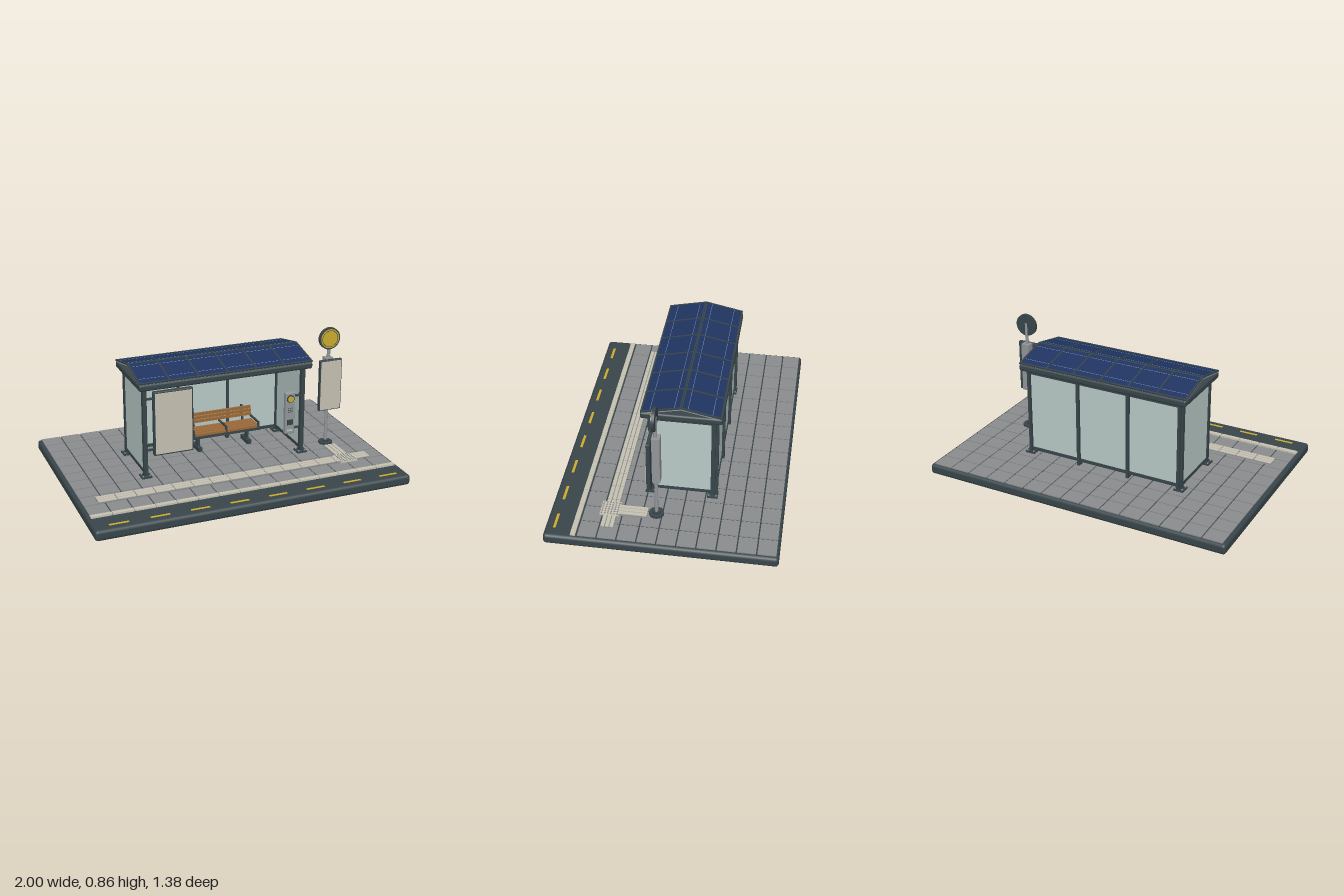
import * as THREE from 'three';
import { RoundedBoxGeometry } from 'three/addons/geometries/RoundedBoxGeometry.js';

const mat = (name, color) => {
  const m = new THREE.MeshStandardMaterial({ color });
  m.name = name;
  return m;
};

export function createModel() {
  const M = {
    steel: mat('dark steel', 0x38454a),
    paving: mat('paving grey', 0x8a8c8e),
    metal: mat('light metal', 0x93979a),
    beige: mat('warm beige', 0xc5c1b2),
    yellow: mat('sign yellow', 0xccab2e),
    wood: mat('bench wood', 0x9c6a38),
    glass: mat('pale glass', 0xb9cac7),
    navy: mat('solar navy', 0x1f3461),
    busbar: mat('cell line', 0x7f97b3),
  };
  const model = new THREE.Group();
  const group = (name, parent = model) => {
    const g = new THREE.Group();
    g.name = name;
    parent.add(g);
    return g;
  };
  const add = (parent, name, geo, m, x, y, z) => {
    const mesh = new THREE.Mesh(geo, m);
    mesh.name = name;
    mesh.position.set(x, y, z);
    parent.add(mesh);
    return mesh;
  };
  // Box given by its limits on each axis
  const box = (parent, name, m, x0, x1, y0, y1, z0, z1, radius = 0) => {
    const s = [x1 - x0, y1 - y0, z1 - z0];
    const geo = radius ? new RoundedBoxGeometry(...s, 2, radius) : new THREE.BoxGeometry(...s);
    return add(parent, name, geo, m, (x0 + x1) / 2, (y0 + y1) / 2, (z0 + z1) / 2);
  };
  // Cylinder along y, or facing z when flat is true
  const cyl = (parent, name, m, r, h, x, y, z, flat = false, sides = 24) => {
    const geo = new THREE.CylinderGeometry(r, r, h, sides);
    if (flat) geo.rotateX(Math.PI / 2);
    return add(parent, name, geo, m, x, y, z);
  };

  // Ground slab, paving, kerb and road dashes
  const ground = group('ground');
  box(ground, 'baseSlab', M.steel, -1, 1, 0, 0.066, -0.688, 0.688, 0.02);
  const px = 1.96 / 15, pz = 1.165 / 10;
  for (let i = 0; i < 15; i++) {
    const x = -0.98 + i * px;
    for (let j = 0; j < 10; j++) {
      const z = -0.675 + j * pz;
      box(ground, 'pavingTile', M.paving, x + 0.004, x + px - 0.004, 0.06, 0.072, z + 0.004, z + pz - 0.004);
    }
    box(ground, 'kerbStone', M.beige, x + 0.002, x + px - 0.002, 0.06, 0.077, 0.497, 0.527);
  }
  for (let i = 0; i < 8; i++) {
    const x = -0.846 + i * 0.245;
    box(ground, 'roadDash', M.yellow, x - 0.059, x + 0.059, 0.064, 0.068, 0.624, 0.64);
  }

  // Tactile guide strip, its branch and the studded crossing plate
  const tactile = group('tactilePaving');
  for (let i = 0; i < 15; i++) {
    const w = 1.78 / 15, x = -0.89 + i * w;
    box(tactile, 'guideTile', M.paving, x + 0.001, x + w - 0.001, 0.068, 0.076, 0.288, 0.367);
    for (let k = 0; k < 3; k++) {
      const z = 0.301 + k * 0.0265;
      box(tactile, 'guideBar', M.beige, x + 0.003, x + w - 0.003, 0.074, 0.081, z - 0.0105, z + 0.0105);
    }
  }
  box(tactile, 'branchTile', M.paving, 0.69, 0.775, 0.068, 0.076, 0.11, 0.28);
  for (let k = 0; k < 3; k++) {
    const x = 0.706 + k * 0.0265;
    box(tactile, 'branchBar', M.beige, x - 0.0105, x + 0.0105, 0.074, 0.081, 0.112, 0.278);
  }
  box(tactile, 'warningTile', M.beige, 0.675, 0.79, 0.07, 0.0815, 0.277, 0.39);
  for (let i = 0; i < 6; i++) for (let j = 0; j < 6; j++)
    cyl(tactile, 'warningStud', M.paving, 0.005, 0.004, 0.686 + i * 0.0186, 0.083, 0.287 + j * 0.0186, false, 8);

  // Shelter posts, rails and glass
  const shelter = group('shelter');
  for (const s of [-1, 1]) {
    for (const z of [0.123, -0.25]) {
      box(shelter, 'post', M.steel, s * 0.52 - 0.013, s * 0.52 + 0.013, 0.07, 0.65, z - 0.013, z + 0.013);
      box(shelter, 'postFoot', M.steel, s * 0.52 - 0.032, s * 0.52 + 0.032, 0.07, 0.083, z - 0.032, z + 0.032);
      for (const dx of [-0.022, 0.022]) for (const dz of [-0.022, 0.022])
        cyl(shelter, 'footBolt', M.metal, 0.005, 0.008, s * 0.52 + dx, 0.085, z + dz, false, 6);
    }
    box(shelter, 'sideGlass', M.glass, s * 0.52 - 0.005, s * 0.52 + 0.005, 0.11, 0.615, -0.24, 0.112);
    for (const y of [0.105, 0.625])
      box(shelter, 'sideRail', M.steel, s * 0.52 - 0.009, s * 0.52 + 0.009, y - 0.01, y + 0.01, -0.24, 0.112);
  }
  for (let i = 0; i < 3; i++) {
    const x = -0.342 + i * 0.342;
    box(shelter, 'backGlass', M.glass, x - 0.167, x + 0.167, 0.11, 0.62, -0.262, -0.252);
  }
  for (const x of [-0.513, -0.174, 0.168, 0.513])
    box(shelter, 'backMullion', M.steel, x - 0.009, x + 0.009, 0.07, 0.65, -0.28, -0.245);
  for (const y of [0.105, 0.63])
    box(shelter, 'backRail', M.steel, -0.51, 0.51, y - 0.01, y + 0.01, -0.268, -0.246);
  box(shelter, 'frontRail', M.steel, -0.51, 0.51, 0.636, 0.65, 0.113, 0.133);

  // Roof deck, timber ceiling and pitched solar roof
  const roof = group('roof');
  box(roof, 'roofDeck', M.steel, -0.563, 0.563, 0.645, 0.687, -0.303, 0.177, 0.012);
  for (let i = 0; i < 9; i++) {
    const z = -0.22 + i * 0.038;
    box(roof, 'ceilingSlat', M.wood, -0.495, 0.495, 0.632, 0.647, z - 0.016, z + 0.016);
  }
  for (const turn of [0, Math.PI]) {
    const side = group('roofSide', roof);
    side.position.set(0, 0.742, -0.063);
    side.rotation.y = turn;
    const slope = group('solarSlope', side);
    slope.rotation.x = 0.21;
    box(slope, 'roofSheet', M.metal, -0.56, 0.56, -0.013, -0.002, 0, 0.24);
    for (let i = 0; i < 6; i++) {
      const x = -0.465 + i * 0.186;
      box(slope, 'solarPanel', M.navy, x - 0.088, x + 0.088, -0.003, 0.002, 0.007, 0.233);
      for (const z of [0.04, 0.185])
        box(slope, 'cellLine', M.busbar, x - 0.084, x + 0.084, 0.001, 0.0026, z - 0.0012, z + 0.0012);
    }
    for (let i = 0; i < 7; i++) {
      const x = -0.558 + i * 0.186;
      box(slope, 'panelFrame', M.steel, x - 0.005, x + 0.005, -0.004, 0.005, 0, 0.24);
    }
    box(slope, 'eaveFrame', M.steel, -0.563, 0.563, -0.004, 0.005, 0.231, 0.241);
    box(slope, 'ridgeFrame', M.steel, -0.563, 0.563, -0.004, 0.005, 0, 0.008);
  }

  // Poster case by the right-hand post
  const poster = group('posterCase');
  box(poster, 'posterFrame', M.steel, -0.466, -0.212, 0.205, 0.617, 0.108, 0.138, 0.006);
  for (const [z0, z1] of [[0.136, 0.141], [0.105, 0.11]])
    box(poster, 'posterFace', M.beige, -0.456, -0.222, 0.215, 0.607, z0, z1);
  for (const y of [0.245, 0.575])
    box(poster, 'posterBracket', M.steel, -0.515, -0.46, y - 0.006, y + 0.006, 0.117, 0.129);

  // Help point on the left-hand post
  const help = group('helpPoint');
  box(help, 'helpBody', M.metal, 0.4, 0.464, 0.213, 0.49, 0.11, 0.142, 0.006);
  cyl(help, 'helpRing', M.steel, 0.025, 0.008, 0.432, 0.45, 0.144, true);
  cyl(help, 'helpButton', M.yellow, 0.019, 0.012, 0.432, 0.45, 0.147, true);
  for (let i = 0; i < 3; i++) for (let j = 0; j < 3; j++)
    cyl(help, 'speakerHole', M.steel, 0.0035, 0.004, 0.42 + i * 0.012, 0.362 + j * 0.012, 0.142, true, 8);
  box(help, 'cardSlot', M.steel, 0.413, 0.451, 0.275, 0.31, 0.138, 0.146);
  box(help, 'labelPlate', M.beige, 0.412, 0.452, 0.232, 0.244, 0.139, 0.144);
  for (const y of [0.245, 0.46])
    box(help, 'helpBracket', M.steel, 0.46, 0.515, y - 0.006, y + 0.006, 0.117, 0.129);

  // Slatted bench with arms, legs and backrest
  const bench = group('bench');
  for (let i = 0; i < 4; i++) {
    const z = -0.193 + i * 0.034;
    box(bench, 'seatSlat', M.wood, -0.132, 0.317, 0.19, 0.205, z - 0.014, z + 0.014);
  }
  for (let i = 0; i < 3; i++) {
    const y = 0.238 + i * 0.022;
    const z = -0.212 - i * 0.005;
    box(bench, 'backSlat', M.wood, -0.132, 0.317, y - 0.009, y + 0.009, z - 0.006, z + 0.006);
  }
  for (const x of [-0.08, 0.26]) {
    box(bench, 'benchLeg', M.steel, x - 0.008, x + 0.008, 0.07, 0.19, -0.165, -0.13);
    box(bench, 'benchFoot', M.steel, x - 0.014, x + 0.014, 0.07, 0.1, -0.21, -0.1);
    const stay = box(bench, 'backStay', M.steel, x - 0.006, x + 0.006, 0.17, 0.3, -0.231, -0.219);
    stay.rotation.x = -0.2;
  }
  for (const z of [-0.2, -0.085])
    box(bench, 'seatRail', M.steel, -0.132, 0.317, 0.172, 0.19, z - 0.008, z + 0.008);
  for (const x of [-0.129, 0.092, 0.314]) {
    box(bench, 'armRest', M.steel, x - 0.006, x + 0.006, 0.22, 0.23, -0.21, -0.075);
    box(bench, 'armPost', M.steel, x - 0.006, x + 0.006, 0.172, 0.225, -0.087, -0.075);
  }

  // Stop pole with round sign and timetable board
  const stop = group('stopSign');
  const sx = 0.73, sz = 0.058;
  cyl(stop, 'poleFoot', M.steel, 0.045, 0.014, sx, 0.078, sz);
  cyl(stop, 'poleCollar', M.steel, 0.022, 0.012, sx, 0.09, sz);
  cyl(stop, 'pole', M.metal, 0.011, 0.73, sx, 0.435, sz, false, 16);
  cyl(stop, 'signDisc', M.steel, 0.071, 0.02, sx, 0.787, 0.062, true, 40);
  cyl(stop, 'signFace', M.yellow, 0.062, 0.006, sx, 0.787, 0.072, true, 40);
  const ring = add(stop, 'signRing', new THREE.TorusGeometry(0.053, 0.0018, 6, 40), M.steel, sx, 0.787, 0.075);
  ring.scale.z = 0.6;
  box(stop, 'boardSpine', M.metal, sx - 0.027, sx + 0.027, 0.338, 0.66, 0.03, 0.078);
  box(stop, 'boardFrame', M.steel, sx - 0.077, sx + 0.077, 0.317, 0.655, 0.077, 0.102, 0.005);
  box(stop, 'boardFace', M.beige, sx - 0.07, sx + 0.07, 0.324, 0.648, 0.1, 0.105);

  return model;
}
